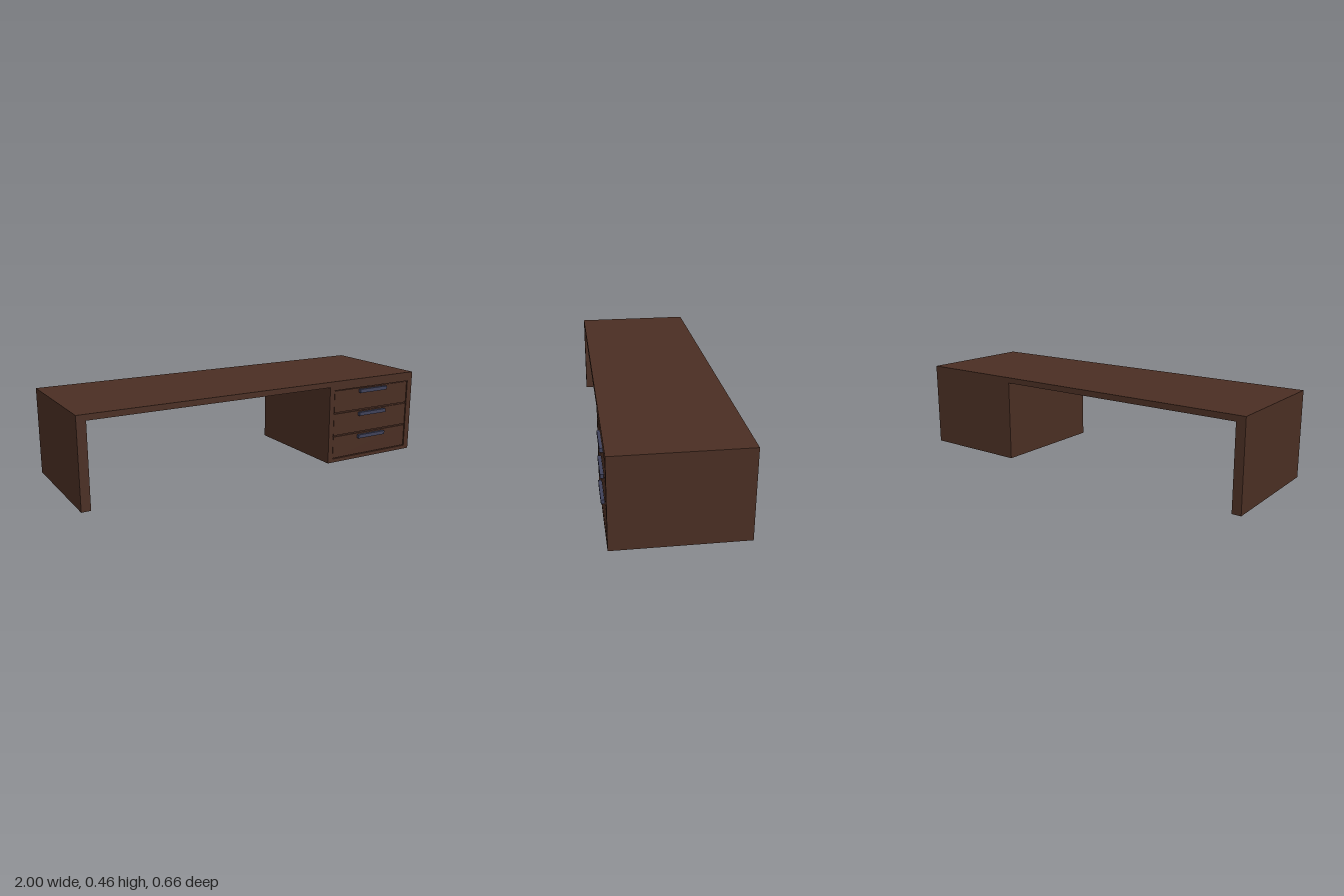
import * as THREE from 'three';

export function createModel() {
  const desk = new THREE.Group();
  desk.name = 'desk';
  const wood = new THREE.MeshStandardMaterial({ name: 'dark wood', color: 0x4a2e23, side: THREE.DoubleSide });
  const metal = new THREE.MeshStandardMaterial({ name: 'blue grey metal', color: 0x3f4159 });

  const H = 0.46, BACK = -0.332, FRONT = 0.319, DEPTH = FRONT - BACK;
  const MID = (FRONT + BACK) / 2, PX = 0.41, PW = 1 - PX, PC = (1 + PX) / 2;

  const add = (name, geometry, material, x, y, z, parent = desk) => {
    const mesh = new THREE.Mesh(geometry, material);
    mesh.name = name;
    mesh.position.set(x, y, z);
    parent.add(mesh);
    return mesh;
  };
  const rect = (Type, x0, y0, x1, y1) => {
    const s = new Type();
    s.moveTo(x0, y0).lineTo(x1, y0).lineTo(x1, y1).lineTo(x0, y1).closePath();
    return s;
  };

  // Desktop and slab leg, one continuous profile
  const profile = new THREE.Shape();
  profile.moveTo(-1, 0).lineTo(-0.953, 0).lineTo(-0.953, 0.43);
  profile.lineTo(PX, 0.43).lineTo(PX, H).lineTo(-1, H).closePath();
  add('desktopAndLeg', new THREE.ExtrudeGeometry(profile, { depth: DEPTH, bevelEnabled: false }), wood, 0, 0, BACK);

  // Drawer pedestal: thin walls, open underneath
  const pedestal = new THREE.Group();
  pedestal.name = 'pedestal';
  desk.add(pedestal);
  add('pedestalTop', new THREE.PlaneGeometry(PW, DEPTH).rotateX(-Math.PI / 2), wood, PC, H, MID, pedestal);
  add('pedestalBack', new THREE.PlaneGeometry(PW, H).rotateY(Math.PI), wood, PC, H / 2, BACK, pedestal);
  add('pedestalOuterSide', new THREE.PlaneGeometry(DEPTH, H).rotateY(Math.PI / 2), wood, 1, H / 2, MID, pedestal);
  add('pedestalInnerSide', new THREE.PlaneGeometry(DEPTH, 0.43).rotateY(-Math.PI / 2), wood, PX, 0.215, MID, pedestal);

  // Front frame around the recessed drawers
  const recess = 0.01, x0 = 0.44, x1 = 0.967, y0 = 0.02, y1 = 0.41;
  const frame = rect(THREE.Shape, PX, 0, 1, H);
  frame.holes.push(rect(THREE.Path, x0, y0, x1, y1));
  add('drawerFrame', new THREE.ExtrudeGeometry(frame, { depth: recess, bevelEnabled: false }), wood, 0, 0, FRONT - recess, pedestal);
  add('recessPanel', new THREE.PlaneGeometry(x1 - x0, y1 - y0), wood, (x0 + x1) / 2, (y0 + y1) / 2, FRONT - recess, pedestal);

  // Three drawer fronts with bar handles
  const pitch = (y1 - y0) / 3, gap = 0.008;
  for (let i = 0; i < 3; i++) {
    const drawer = new THREE.Group();
    drawer.name = 'drawer' + (i + 1);
    pedestal.add(drawer);
    const y = y0 + pitch * (i + 0.5);
    add('drawerFront', new THREE.BoxGeometry(x1 - x0 - gap, pitch - gap, 0.007), wood, (x0 + x1) / 2, y, FRONT - 0.0065, drawer);
    add('handle', new THREE.BoxGeometry(0.188, 0.02, 0.03), metal, 0.706, 0.128 + i * 0.131, 0.317, drawer);
  }
  return desk;
}
